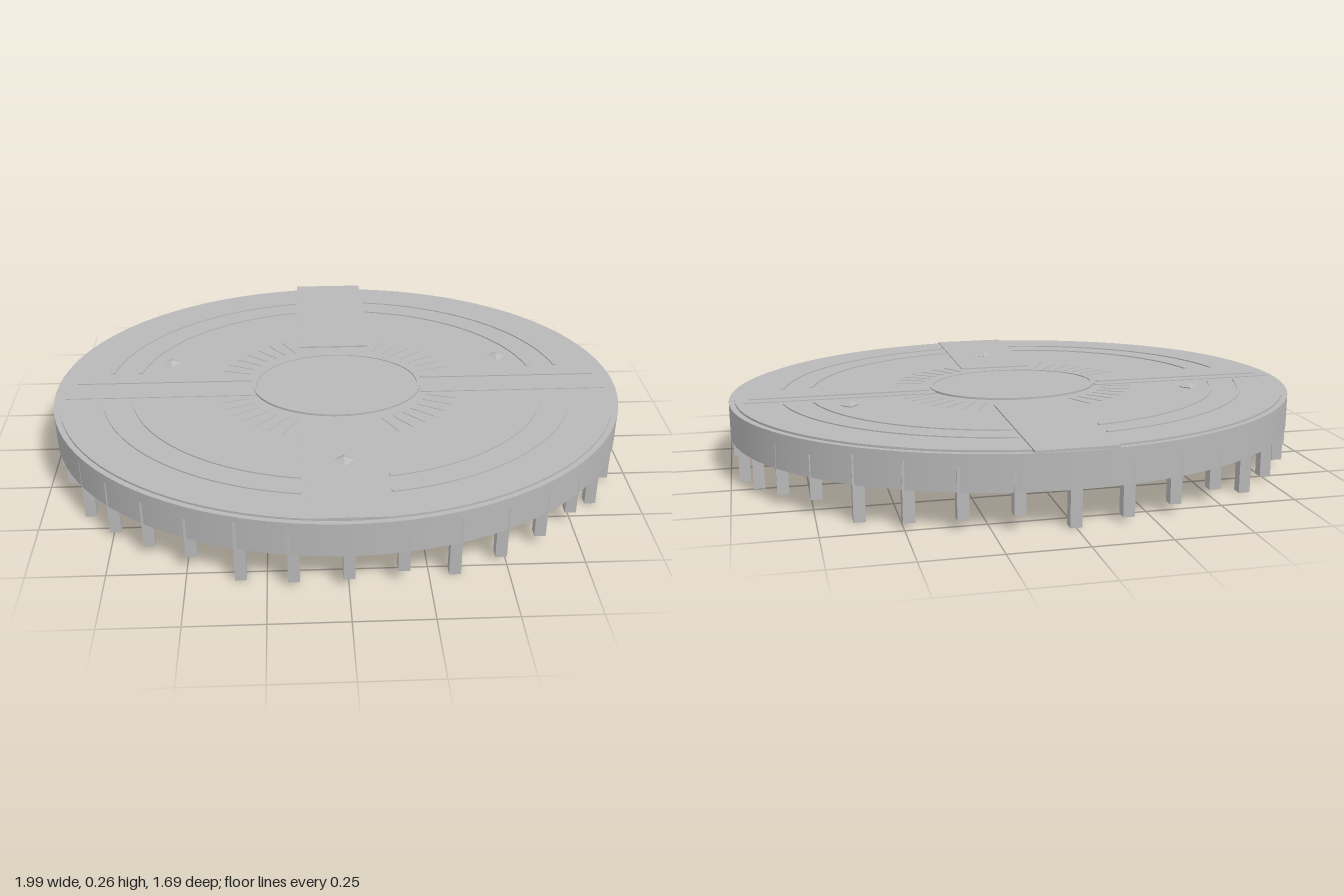
import * as THREE from 'three';

const RATIO = 0.848; // depth of every ellipse relative to its width

export function createModel() {
  const root = new THREE.Group();
  root.name = 'ovalPlaza';
  const stone = new THREE.MeshStandardMaterial({ color: 0xb8b8b8 });
  stone.name = 'pale grey stone';

  const add = (name, geometry, x = 0, y = 0, z = 0, parent = root) => {
    const mesh = new THREE.Mesh(geometry, stone);
    mesh.name = name;
    mesh.position.set(x, y, z);
    parent.add(mesh);
    return mesh;
  };
  const group = (name) => {
    const g = new THREE.Group();
    g.name = name;
    root.add(g);
    return g;
  };
  // Oval slab between two heights
  const oval = (name, rx, rz, y0, y1) =>
    add(name, new THREE.CylinderGeometry(1, 1, y1 - y0, 96).scale(rx, 1, rz), 0, (y0 + y1) / 2);
  // Box given by its limits
  const box = (name, x0, x1, y0, y1, z0, z1, parent) =>
    add(name, new THREE.BoxGeometry(x1 - x0, y1 - y0, z1 - z0),
      (x0 + x1) / 2, (y0 + y1) / 2, (z0 + z1) / 2, parent);

  // Raised arc band, lying flat on the deck
  const arcBand = (name, inner, outer, a0, a1, y0, y1, parent) => {
    const shape = new THREE.Shape();
    shape.absarc(0, 0, outer, a0, a1, false);
    shape.absarc(0, 0, inner, a1, a0, true);
    const g = new THREE.ExtrudeGeometry(shape, { depth: y1 - y0, bevelEnabled: false, curveSegments: 20 });
    g.rotateX(-Math.PI / 2).scale(1, 1, RATIO);
    add(name, g, 0, y0, 0, parent);
  };

  // Main slab and deck
  oval('slab', 0.995, 0.843, 0.12, 0.238);
  oval('deck', 0.975, 0.826, 0.23, 0.245);

  // Piles round the edge, in four repeating lengths
  const piles = group('piles');
  for (let i = 0; i < 36; i++) {
    const a = (i * Math.PI) / 18;
    const bottom = 0.048 - 0.016 * (i % 4);
    const top = 0.215 - bottom * 0.5;
    add('pile', new THREE.BoxGeometry(0.037, top - bottom, 0.037),
      0.968 * Math.cos(a), (top + bottom) / 2, 0.823 * Math.sin(a), piles);
  }

  // Four straight walkways
  const walks = group('walkways');
  box('frontWalk', -0.13, 0.13, 0.242, 0.249, 0.29, 0.825, walks);
  box('backWalk', -0.13, 0.13, 0.242, 0.25, -0.849, -0.29, walks);
  for (const s of [-1, 1]) {
    const x0 = s < 0 ? -0.95 : 0.29;
    box('sideWalk', x0, x0 + 0.66, 0.242, 0.248, -0.075, 0.07, walks);
    const r0 = s < 0 ? -0.925 : 0.305;
    box('sideRail', r0, r0 + 0.62, 0.245, 0.252, 0 - 0.038, -0.03, walks);
  }

  // Concentric kerbs, broken by the walkways
  const kerbs = group('kerbs');
  for (const r of [0.72, 0.82]) {
    for (let q = 0; q < 4; q++) {
      // near the side walks the gap is narrower than near the front and back
      const sideGap = 0.13 / r, endGap = 0.14 / r;
      const a0 = (q * Math.PI) / 2 + (q % 2 ? endGap : sideGap);
      const a1 = ((q + 1) * Math.PI) / 2 - (q % 2 ? sideGap : endGap);
      arcBand('kerb', r - 0.007, r + 0.007, a0, a1, 0.243, 0.249, kerbs);
    }
  }

  // Fine radial paving joints around the centre
  const joints = group('pavingJoints');
  for (let i = 0; i < 48; i++) {
    const a = ((i + 0.5) * Math.PI) / 24;
    const x = Math.cos(a), z = Math.sin(a) * RATIO;
    if (Math.abs(x) * 0.36 < 0.14 || Math.abs(z) * 0.36 < 0.085) continue;
    const joint = add('joint', new THREE.BoxGeometry(0.1, 0.003, 0.003), x * 0.38, 0.2455, z * 0.38, joints);
    joint.rotation.y = -Math.atan2(z, x);
  }

  // Central oval and its rim
  oval('centreOval', 0.285, 0.215, 0.243, 0.249);
  const rim = new THREE.Shape().absellipse(0, 0, 0.298, 0.226, 0, Math.PI * 2);
  rim.holes.push(new THREE.Path().absellipse(0, 0, 0.286, 0.215, 0, Math.PI * 2, true));
  add('centreRim', new THREE.ExtrudeGeometry(rim, { depth: 0.009, bevelEnabled: false, curveSegments: 64 })
    .rotateX(-Math.PI / 2), 0, 0.243, 0);

  // Three low faceted markers
  for (const [x, z] of [[0, 0.51], [-0.6, -0.18], [0.6, -0.18]]) {
    const gem = new THREE.OctahedronGeometry(0.034).scale(1, 0.4, 1);
    add('marker', gem, x, 0.25, z);
  }
  return root;
}
